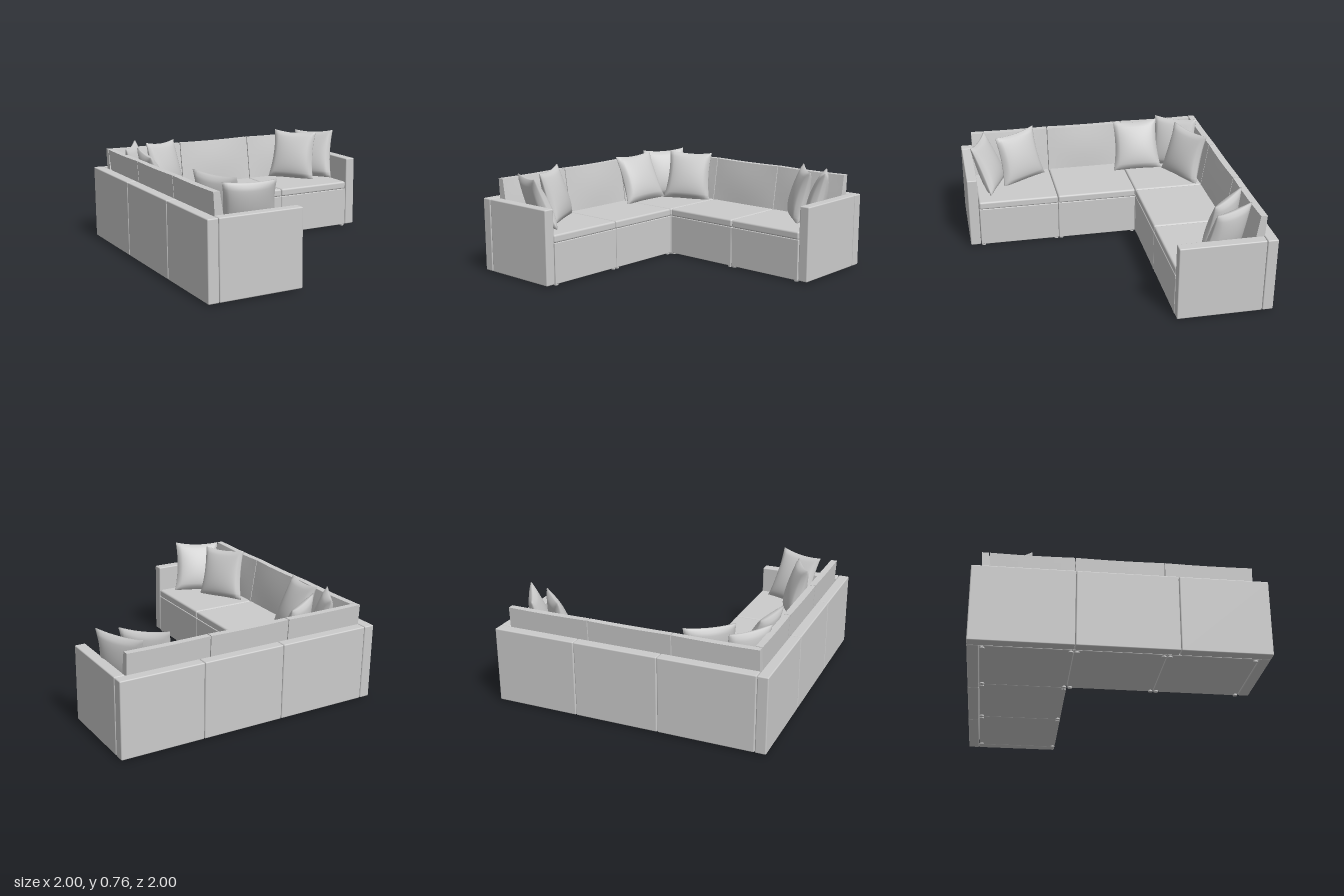
import * as THREE from 'three';
import { mergeVertices } from 'three/addons/utils/BufferGeometryUtils.js';
import { RoundedBoxGeometry } from 'three/addons/geometries/RoundedBoxGeometry.js';

const grey = new THREE.MeshStandardMaterial({ color: 0xcccccc });
const GAP = 0.0015;

// Softly rounded block given by its limits on each axis
function block(name, [x0, x1], [y0, y1], [z0, z1], radius) {
  const geo = new RoundedBoxGeometry(x1 - x0 - 2 * GAP, y1 - y0, z1 - z0 - 2 * GAP, 3, radius);
  const mesh = new THREE.Mesh(geo, grey);
  mesh.position.set((x0 + x1) / 2, (y0 + y1) / 2, (z0 + z1) / 2);
  mesh.name = name;
  return mesh;
}

// Leaning wedge cushion running from x0 to x1, facing +z, with a soft front
function backCushion(x0, x1) {
  const geo = new THREE.BoxGeometry(1, 1, 1, 12, 8, 1);
  const p = geo.attributes.position;
  for (let i = 0; i < p.count; i++) {
    const u = p.getX(i) + 0.5, v = p.getY(i) + 0.5;
    const rear = -0.915 - 0.02 * v;
    let front = -0.834 - 0.055 * v;
    front += 0.012 * Math.sin(Math.PI * u) * Math.sin(Math.PI * Math.min(1, v * 0.9));
    const sag = 0.004 * Math.sin(Math.PI * u) * v;
    p.setXYZ(i, THREE.MathUtils.lerp(x0 + 0.003, x1 - 0.003, u), 0.35 + 0.357 * v - sag,
      p.getZ(i) > 0 ? front : rear);
  }
  geo.computeVertexNormals();
  const mesh = new THREE.Mesh(geo, grey);
  mesh.name = 'backCushion';
  return mesh;
}

// Square pillow: full centre, pinched seam, drawn-in sides and pointed corners
function pillowGeometry() {
  let geo = new THREE.BoxGeometry(2, 2, 2, 18, 18, 1);
  geo.deleteAttribute('normal');
  geo.deleteAttribute('uv');
  geo = mergeVertices(geo);
  const p = geo.attributes.position;
  for (let i = 0; i < p.count; i++) {
    const u = p.getX(i), v = p.getY(i), side = Math.sign(p.getZ(i));
    const puff = Math.pow((1 - u * u) * (1 - v * v), 0.45);
    const pinchX = 1 - 0.1 * (1 - v * v), pinchY = 1 - 0.09 * (1 - u * u);
    const slump = 1 - 0.25 * v;
    p.setXYZ(i, u * 0.185 * pinchX * (1 - 0.05 * v), v * 0.2 * (v < 0 ? 1 - 0.03 * (1 - u * u) : pinchY),
      side * (0.005 + 0.062 * puff * slump));
  }
  geo.computeVertexNormals();
  return geo;
}

export function createModel() {
  const sofa = new THREE.Group();
  sofa.name = 'cornerSofa';

  // Seat modules of the L: [x, z] of each lower corner
  const S = 0.612, E = -0.918;
  const modules = [[E, E], [E + S, E], [E + 2 * S, E], [E, E + S], [E, E + 2 * S]];
  const footGeo = new THREE.CylinderGeometry(0.016, 0.016, 0.012, 12);
  for (const [x, z] of modules) {
    const mod = new THREE.Group();
    mod.name = 'seatModule';
    mod.add(block('base', [x, x + S], [0.01, 0.312], [z, z + S], 0.005));
    mod.add(block('seatCushion', [x, x + S], [0.31, 0.37], [z, z + S], 0.014));
    for (const dx of [0.02, S - 0.02]) for (const dz of [0.02, S - 0.02]) {
      const foot = new THREE.Mesh(footGeo, grey);
      foot.name = 'foot';
      foot.position.set(x + dx, 0.006, z + dz);
      mod.add(foot);
    }
    sofa.add(mod);
  }

  // Outer wall panels and arms
  const H = [0.01, 0.56], R = 0.008;
  const backSplits = [-0.92, -0.23, 0.385, 1];
  const sideSplits = [-1, -0.305, 0.385, 1];
  for (let i = 0; i < 3; i++) {
    sofa.add(block('backPanel', [backSplits[i], backSplits[i + 1]], H, [-1, -0.92], R));
    sofa.add(block('sidePanel', [-1, -0.92], H, [sideSplits[i], sideSplits[i + 1]], R));
  }
  sofa.add(block('leftArm', [0.92, 1], H, [-0.92, -0.307], R));
  sofa.add(block('frontArm', [-0.92, -0.307], H, [0.92, 1], R));

  // Back cushions: one run along the back, one along the side
  const backRun = new THREE.Group(), sideRun = new THREE.Group();
  backRun.name = 'backCushions';
  sideRun.name = 'sideCushions';
  for (let i = 0; i < 3; i++) {
    const a = E + i * S;
    backRun.add(backCushion(a, a + S));
    sideRun.add(backCushion(-a - S, i === 0 ? 0.885 : -a));
  }
  sideRun.rotation.y = Math.PI / 2;
  sideRun.position.x = 0.02;
  sofa.add(backRun, sideRun);

  // Throw pillows: x, z, yaw, backward lean, roll (degrees)
  const pillowGeo = pillowGeometry();
  const pillows = [
    [-0.745, -0.725, 57, 14, 2],
    [-0.505, -0.75, 31, 14, -3],
    [-0.745, -0.405, 82, 22, 3],
    [-0.7, 0.555, 117, 14, 3],
    [-0.61, 0.815, 160, 22, -2],
    [0.65, -0.705, -47, 13, -2],
    [0.825, -0.685, -59, 15, 3],
  ];
  const rad = THREE.MathUtils.degToRad;
  for (const [x, z, yaw, lean, roll] of pillows) {
    const pillow = new THREE.Mesh(pillowGeo, grey);
    pillow.name = 'pillow';
    pillow.rotation.set(-rad(lean), rad(yaw), rad(roll), 'YXZ');
    pillow.position.set(x, 0.56, z);
    sofa.add(pillow);
  }
  return sofa;
}
